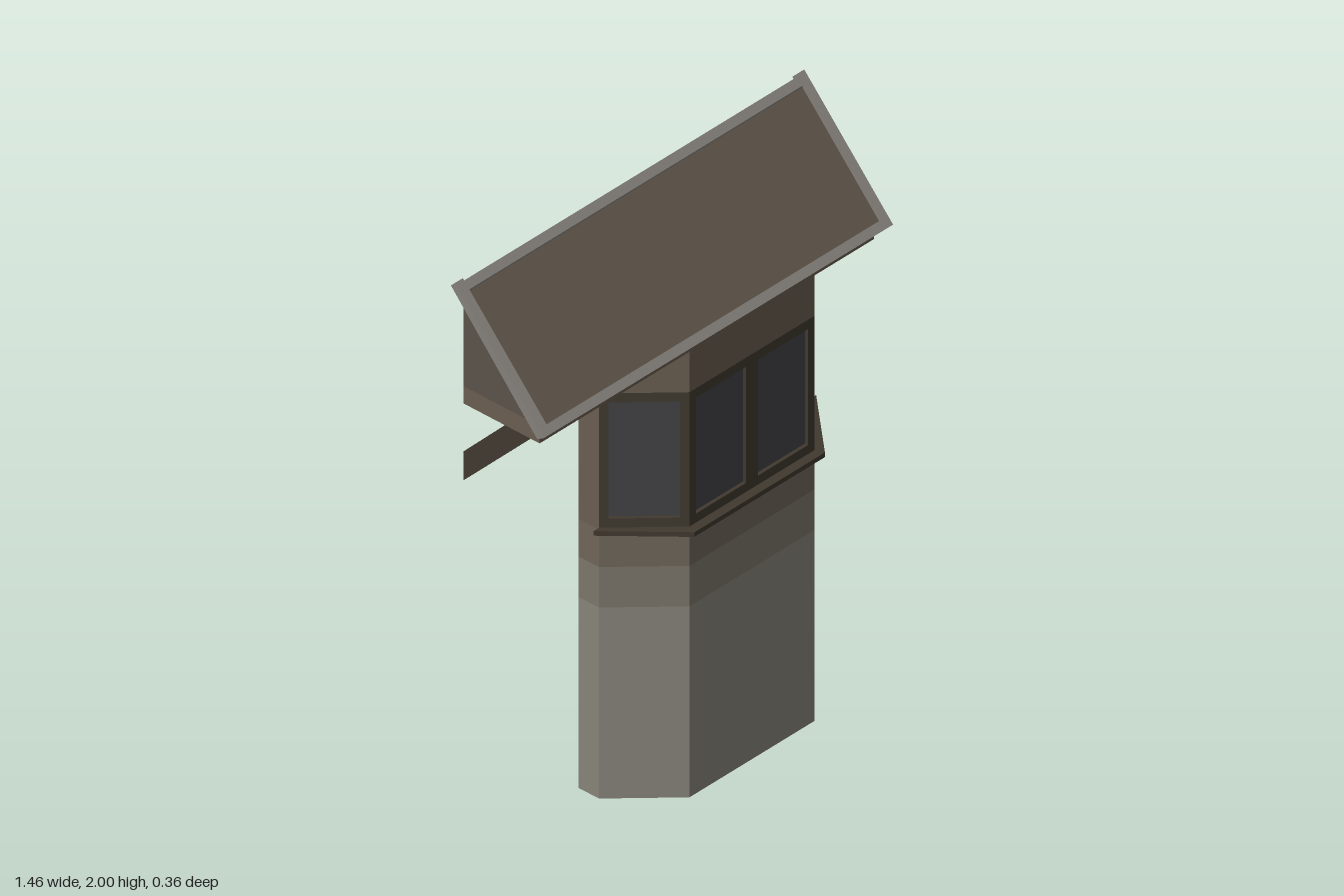
import * as THREE from 'three';

const mat = (color) => new THREE.MeshStandardMaterial({ color, side: THREE.DoubleSide, flatShading: true });
const plaster = mat(0x87847a), plasterMid = mat(0x7c766a), plasterDark = mat(0x6f6659);
const brown = mat(0x695d50), timber = mat(0x40392f), glass = mat(0x424246);
const trim = mat(0x85817b), tile = mat(0x5f564a), gableMat = mat(0x5a5349);

function add(parent, name, geometry, material) {
  const mesh = new THREE.Mesh(geometry, material);
  mesh.name = name;
  parent.add(mesh);
  return mesh;
}

const polygon = (pts) => new THREE.Shape(pts.map(([a, b]) => new THREE.Vector2(a, b)));
const rect = (x0, y0, x1, y1) => [[x0, y0], [x1, y0], [x1, y1], [x0, y1]];

// Side profile given as [z, y], extruded from x0 to x1
function prism(pts, x0, x1) {
  const g = new THREE.ExtrudeGeometry(polygon(pts), { depth: x1 - x0, bevelEnabled: false });
  return g.rotateY(-Math.PI / 2).translate(x1, 0, 0);
}

// Upright sheet in a wall's local frame
function sheet(x0, x1, y0, y1, z = 0) {
  return new THREE.PlaneGeometry(x1 - x0, y1 - y0).translate((x0 + x1) / 2, (y0 + y1) / 2, z);
}

// Height of the roof's top surface at depth z
const slope = (z) => 1.625 + (0.18 - z) * 1.087;

const SILL = 0.93, HEAD = 1.4, EAVE = 1.57;

// One wall of the bay from p to q, with a number of window panes
function bayWall(p, q, panes) {
  const dx = q[0] - p[0], dz = q[1] - p[1], length = Math.hypot(dx, dz);
  const wall = new THREE.Group();
  wall.name = 'bayWall';
  wall.position.set(p[0], 0, p[1]);
  wall.rotation.y = Math.atan2(-dz, dx);

  // Plaster darkens towards the top
  add(wall, 'lowerWall', sheet(0, length, 0, 0.66), plaster);
  add(wall, 'middleWall', sheet(0, length, 0.66, 0.8), plasterMid);
  add(wall, 'wallUnderSill', sheet(0, length, 0.8, SILL), plasterDark);
  add(wall, 'upperWall', sheet(0, length, panes ? HEAD : SILL, EAVE), brown);
  if (!panes) return wall;

  // Window frame with an opening per pane, glass set back inside it
  const frame = polygon(rect(0, SILL, length, HEAD));
  const edge = 0.027, mullion = 0.05;
  const width = (length - 2 * edge - (panes - 1) * mullion) / panes;
  for (let i = 0; i < panes; i++) {
    const x = edge + i * (width + mullion);
    frame.holes.push(new THREE.Path(polygon(rect(x, 0.967, x + width, 1.368)).getPoints()));
    add(wall, 'windowPane', sheet(x, x + width, 0.967, 1.368, -0.012), glass);
  }
  const g = new THREE.ExtrudeGeometry(frame, { depth: 0.022, bevelEnabled: false }).translate(0, 0, -0.022);
  add(wall, 'windowFrame', g, timber);
  return wall;
}

export function createModel() {
  const model = new THREE.Group();
  model.name = 'bayWindowWithRoof';

  // Bay: outline in [x, z], open at the back
  const bay = new THREE.Group();
  bay.name = 'bay';
  model.add(bay);
  const outline = [[-0.22, -0.16], [-0.22, -0.08], [-0.04, 0.105], [0.483, 0.105], [0.667, -0.08], [0.667, -0.16]];
  const panes = [0, 1, 2, 1, 0];
  panes.forEach((n, i) => bay.add(bayWall(outline[i], outline[i + 1], n)));

  // Sill ledge wrapping the three window walls
  const ledge = [[-0.243, -0.08], [-0.052, 0.135], [0.495, 0.135], [0.69, -0.08], ...outline.slice(1, 5).reverse()];
  const sill = new THREE.ExtrudeGeometry(polygon(ledge.map(([x, z]) => [x, -z])), { depth: 0.016, bevelEnabled: false });
  add(bay, 'sill', sill.rotateX(-Math.PI / 2).translate(0, 0.92, 0), timber);

  // Roof box: soffit, fascia and gable ends, open at the back
  const roof = new THREE.Group();
  roof.name = 'roof';
  model.add(roof);
  const soffit = new THREE.PlaneGeometry(1.4, 0.295).rotateX(-Math.PI / 2).translate(0, EAVE, -0.0125);
  add(roof, 'soffit', soffit, brown);
  add(roof, 'fascia', sheet(-0.7, 0.7, EAVE, 1.63, 0.135), brown);
  for (const side of [-1, 1]) {
    const band = polygon([[0.135, EAVE], [0.135, 1.63], [-0.16, 1.63], [-0.16, EAVE]]);
    const gable = polygon([[0.135, 1.63], [-0.16, slope(-0.16) - 0.03], [-0.16, 1.63]]);
    for (const [name, shape, m] of [['endBand', band, brown], ['gable', gable, gableMat]]) {
      const g = new THREE.ShapeGeometry(shape).rotateY(-Math.PI / 2).translate(side * 0.7, 0, 0);
      add(roof, name, g, m);
    }
  }

  // Sloping deck, slightly lower than the boards framing it
  const strip = (z0, z1, top, depth) => [
    [z0, slope(z0) - top], [z1, slope(z1) - top], [z1, slope(z1) - depth], [z0, slope(z0) - depth]];
  add(roof, 'roofDeck', prism(strip(0.165, -0.155, 0.006, 0.03), -0.7, 0.7), tile);
  add(roof, 'ridgeBoard', prism(strip(-0.14, -0.16, 0, 0.034), -0.7, 0.7), trim);
  const eave = [[0.18, 1.625], [0.16, slope(0.16)], [0.14, slope(0.14) - 0.042], [0.155, 1.61]];
  add(roof, 'eaveBoard', prism(eave, -0.7, 0.7), trim);

  const verge = [[0.18, 1.625], [-0.165, 2], [-0.18, 1.985], [0.155, 1.61]];
  const brace = [[0.1, EAVE], [0, EAVE], [-0.16, 1.405], [-0.16, 1.305]];
  for (const side of [-1, 1]) {
    // Boards along the roof ends
    add(roof, 'vergeBoard', prism(verge, side * 0.715 - 0.017, side * 0.715 + 0.017), trim);
    // Diagonal brackets under the eaves
    add(roof, 'bracket', prism(brace, side * 0.686 - 0.014, side * 0.686 + 0.014), timber);
  }
  return model;
}
